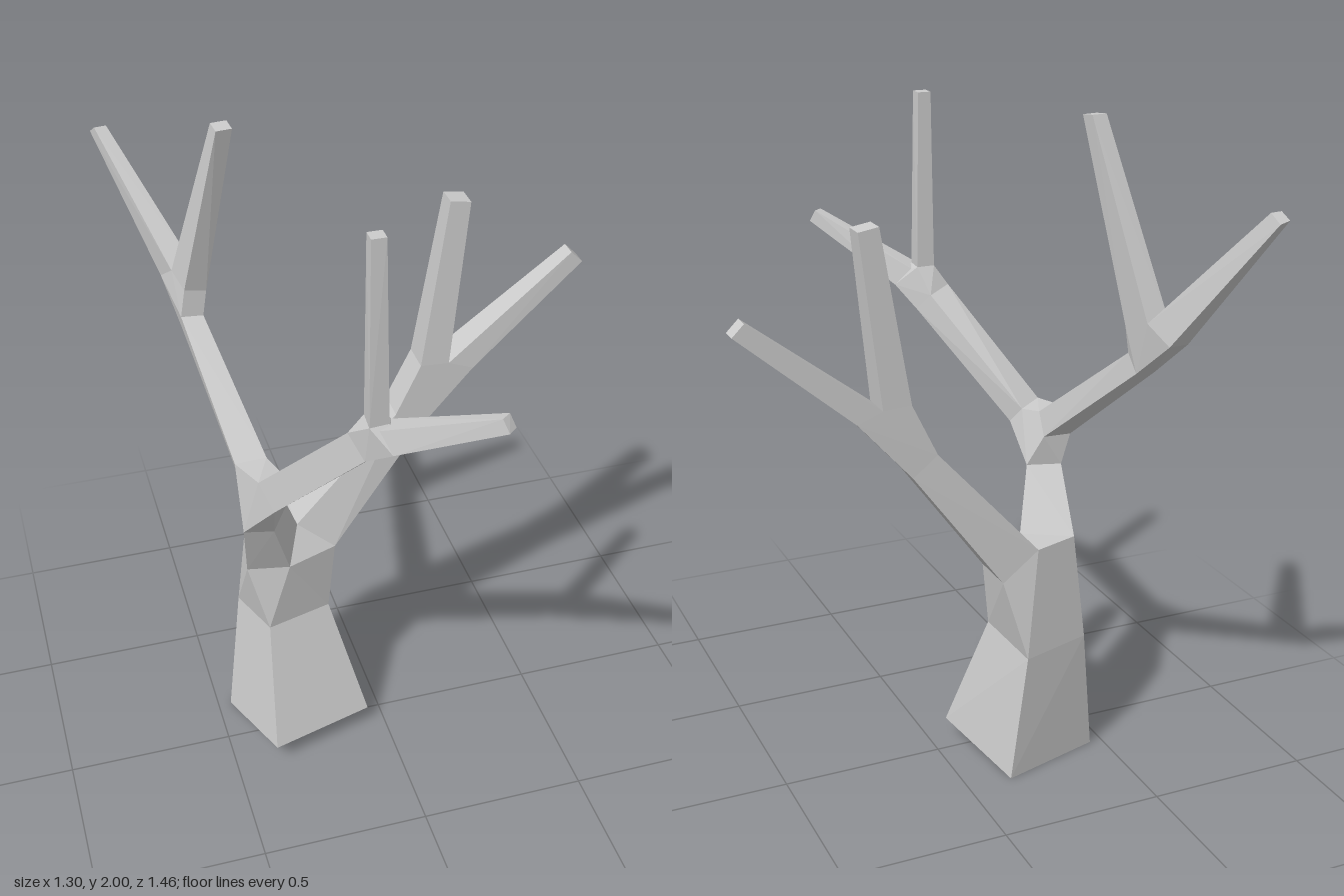
import * as THREE from 'three';
import { ConvexGeometry } from 'three/addons/geometries/ConvexGeometry.js';
import { mergeGeometries } from 'three/addons/utils/BufferGeometryUtils.js';

const bark = new THREE.MeshStandardMaterial({ color: 0xcccccc, flatShading: true });

// Faceted solid wrapped around a handful of corner points
const wrap = (...rings) => new ConvexGeometry(rings.flat().map((p) => new THREE.Vector3(...p)));

// Limb made of straight facets between consecutive four-cornered rings
function limb(name, ...rings) {
  const parts = [];
  for (let i = 1; i < rings.length; i++) parts.push(wrap(rings[i - 1], rings[i]));
  return new THREE.Mesh(mergeGeometries(parts), bark);
}

// Ring spanning two side-on points (x, y) between two depths
const band = ([x1, y1], [x2, y2], z1, z2) =>
  [[x1, y1, z1], [x2, y2, z1], [x2, y2, z2], [x1, y1, z2]];

export function createModel() {
  const group = new THREE.Group();
  const add = (name, mesh) => {
    mesh.name = name;
    group.add(mesh);
  };
  const addFork = (name, ...rings) => add(name, new THREE.Mesh(wrap(...rings), bark));

  // Trunk, with a slanted cut at the foot
  const foot = [[-0.375, 0.065, 0.155], [-0.055, 0.065, 0.065], [-0.14, 0, -0.24], [-0.46, 0, -0.15]];
  const waist = [[-0.35, 0.44, 0.015], [-0.15, 0.44, -0.04], [-0.19, 0.4, -0.238], [-0.405, 0.41, -0.185]];
  add('trunk', limb('trunk', foot, waist));

  // Main fork: side bough to the left, leader going up
  const sideRoot = [[-0.23, 0.74, -0.085], [-0.23, 0.74, -0.21], [-0.12, 0.65, -0.06], [-0.12, 0.65, -0.205]];
  const leaderRoot = [[-0.405, 0.665, -0.01], [-0.28, 0.665, 0.015], [-0.23, 0.74, -0.085], [-0.37, 0.74, -0.165]];
  addFork('mainFork', waist, sideRoot, leaderRoot);

  // Side bough and its two shoots
  const sideEnd = band([0.08, 1.08], [0.155, 1.02], -0.085, -0.188);
  const sideUp = band([0.155, 1.235], [0.24, 1.23], -0.085, -0.183);
  const sideOut = band([0.24, 1.23], [0.315, 1.2], -0.085, -0.183);
  add('sideBough', limb('sideBough', sideRoot, sideEnd));
  addFork('sideFork', sideEnd, sideUp, sideOut);
  add('sideUpperShoot', limb('', sideUp, band([0.24, 1.74], [0.3, 1.73], -0.108, -0.172)));
  add('sideOuterShoot', limb('', sideOut, band([0.615, 1.52], [0.65, 1.485], -0.115, -0.167)));

  // Leader and its fork into a front and a back bough
  const leaderEnd = [[-0.425, 0.875, 0.075], [-0.34, 0.875, 0.095], [-0.29, 0.92, 0], [-0.39, 0.92, -0.03]];
  const frontRoot = [[-0.385, 1.08, 0.125], [-0.355, 1.01, 0.18], [-0.29, 1.02, 0.12], [-0.31, 1.07, 0.08]];
  const backRoot = [[-0.428, 1.08, 0.02], [-0.415, 1.015, -0.035], [-0.33, 1.015, -0.03], [-0.335, 1.08, 0.015]];
  add('leader', limb('', leaderRoot, leaderEnd));
  addFork('leaderFork', leaderEnd, frontRoot, backRoot);

  // Front bough and its two shoots
  const frontEnd = [[-0.2, 1.39, 0.39], [-0.17, 1.33, 0.445], [-0.1, 1.32, 0.4], [-0.13, 1.37, 0.36]];
  const frontUp = [[-0.165, 1.45, 0.47], [-0.11, 1.45, 0.465], [-0.105, 1.45, 0.405], [-0.16, 1.45, 0.405]];
  const frontOut = [[-0.14, 1.44, 0.475], [-0.115, 1.385, 0.515], [-0.055, 1.385, 0.465], [-0.095, 1.44, 0.43]];
  add('frontBough', limb('', frontRoot, frontEnd));
  addFork('frontFork', frontEnd, frontUp, frontOut);
  add('frontUpperShoot', limb('', frontUp,
    [[-0.155, 1.975, 0.457], [-0.115, 1.975, 0.457], [-0.115, 1.975, 0.418], [-0.155, 1.975, 0.418]]));
  add('frontOuterShoot', limb('', frontOut,
    [[0.097, 1.585, 0.71], [0.11, 1.55, 0.728], [0.135, 1.55, 0.705], [0.122, 1.585, 0.69]]));

  // Back bough and its two shoots
  const backEnd = [[-0.49, 1.365, -0.34], [-0.485, 1.31, -0.385], [-0.43, 1.31, -0.38], [-0.425, 1.36, -0.34]];
  const crotch = [[-0.493, 1.47, -0.43], [-0.425, 1.47, -0.435]];
  const backUp = [...crotch, [-0.475, 1.45, -0.34], [-0.412, 1.44, -0.34]];
  const backOut = [...crotch, [-0.515, 1.42, -0.5], [-0.455, 1.42, -0.505]];
  add('backBough', limb('', backRoot, backEnd));
  addFork('backFork', backEnd, backUp, backOut);
  add('backUpperShoot', limb('', backUp,
    [[-0.385, 1.995, -0.185], [-0.34, 1.995, -0.19], [-0.345, 2, -0.235], [-0.39, 2, -0.23]]));
  add('backOuterShoot', limb('', backOut,
    [[-0.64, 1.815, -0.7], [-0.605, 1.815, -0.705], [-0.615, 1.79, -0.735], [-0.65, 1.795, -0.725]]));

  return group;
}
